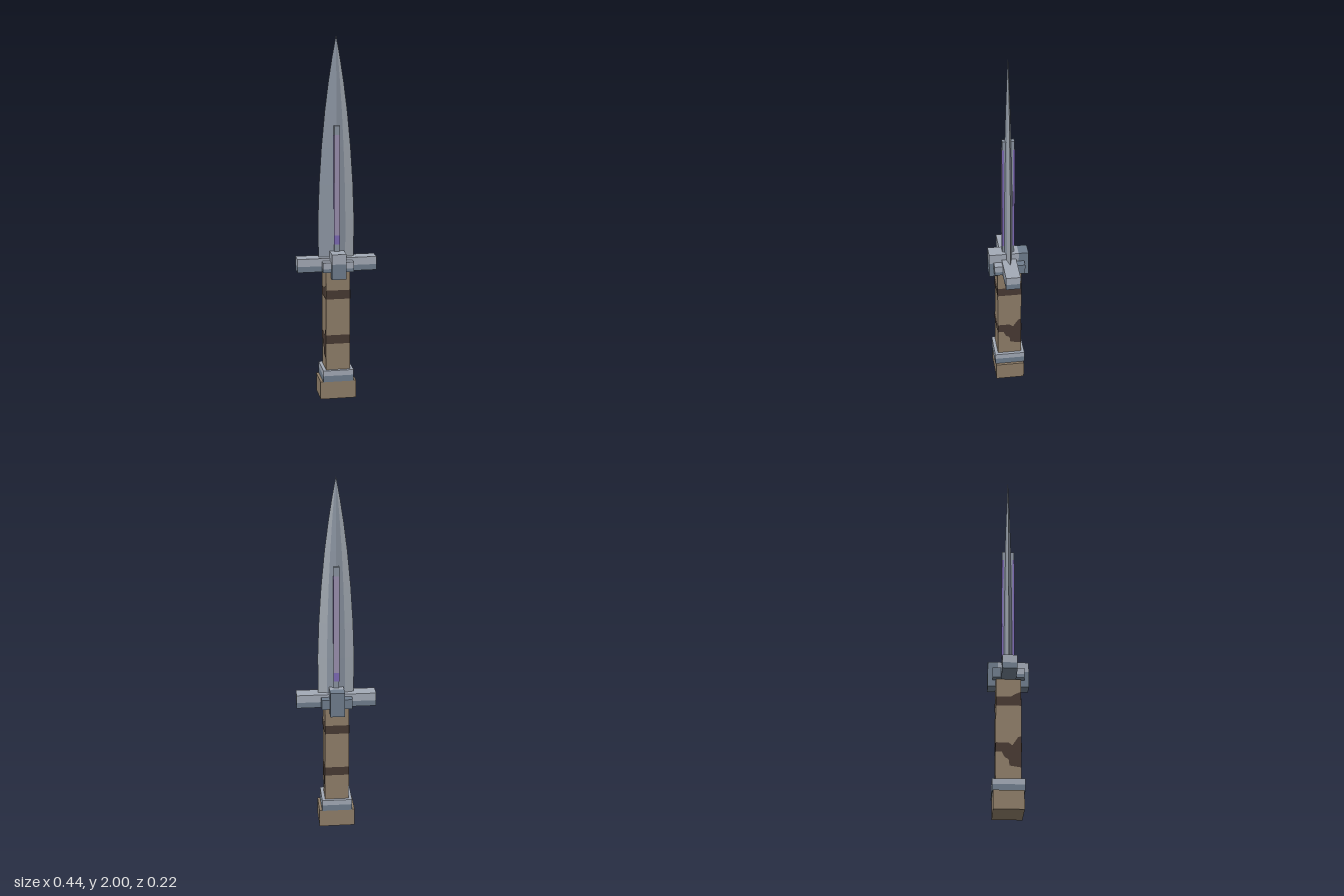
import * as THREE from 'three';

const mat = (name, color, side = THREE.FrontSide) => {
  const m = new THREE.MeshStandardMaterial({ color, side, flatShading: true });
  m.name = name;
  return m;
};

export function createModel() {
  const steelLight = mat('light steel', 0xa3aab6);
  const steelDark = mat('dark steel', 0x6f7d8d);
  const blade = mat('blade steel', 0x8a93a0);
  const bladeEdge = mat('pale blade edge', 0xa1a8b1);
  const leather = mat('brown grip', 0x8f7e69);
  const wrap = mat('dark wrap', 0x483a33, THREE.DoubleSide);
  const lilac = mat('lilac', 0x9a8fae);
  const violet = mat('violet', 0x7c69b4);

  const model = new THREE.Group();
  model.name = 'dagger';

  // Box given by its minimum and maximum on each axis
  const box = (name, m, [x0, x1], [y0, y1], [z0, z1]) => {
    const mesh = new THREE.Mesh(new THREE.BoxGeometry(x1 - x0, y1 - y0, z1 - z0), m);
    mesh.position.set((x0 + x1) / 2, (y0 + y1) / 2, (z0 + z1) / 2);
    mesh.name = name;
    model.add(mesh);
    return mesh;
  };
  const pm = (v) => [-v, v];
  // Box with a darker lower part
  const twoTone = (name, x, [y0, y1], z, split) => {
    box(name + 'Lower', steelDark, x, [y0, split], z);
    box(name + 'Upper', steelLight, x, [split, y1], z);
  };

  // Handle
  const g = 0.067;
  box('pommel', leather, pm(0.1), [0, 0.1], pm(0.08));
  twoTone('collar', pm(0.085), [0.1, 0.165], pm(0.085), 0.135);
  box('grip', leather, pm(g), [0.165, 0.72], pm(g));

  // Wrap bands: straight on front and back, ragged on the sides
  const plate = (points, angle) => {
    const shape = new THREE.Shape(points.map(([u, y]) => new THREE.Vector2(u, y)));
    const mesh = new THREE.Mesh(new THREE.ShapeGeometry(shape), wrap);
    mesh.rotation.y = angle;
    mesh.position.set(Math.sin(angle), 0, Math.cos(angle)).multiplyScalar(g + 0.0015);
    mesh.name = 'wrapBand';
    model.add(mesh);
  };
  for (const angle of [0, Math.PI]) {
    for (const y of [0.315, 0.57]) plate([[-g, y], [g, y], [g, y + 0.05], [-g, y + 0.05]], angle);
  }
  for (const angle of [Math.PI / 2, -Math.PI / 2]) {
    plate([[-g, 0.57], [g, 0.57], [g, 0.65], [0.035, 0.635], [0.01, 0.62], [-g, 0.62]], angle);
    plate([[-g, 0.315], [-0.035, 0.315], [-0.02, 0.285], [0, 0.275], [0.005, 0.24], [g, 0.23],
      [g, 0.4], [0.05, 0.395], [0.02, 0.35], [0, 0.365], [-g, 0.365]], angle);
  }

  // Guard: crossbar, middle block and centre block
  twoTone('crossbar', pm(0.22), [0.72, 0.795], pm(0.04), 0.752);
  twoTone('middleBlock', pm(0.085), [0.725, 0.78], [-0.04, 0.085], 0.745);
  box('middleBlockBack', steelDark, pm(0.085), [0.725, 0.78], [-0.085, -0.04]);
  twoTone('centreBlock', pm(0.04), [0.69, 0.83], [-0.055, 0.11], 0.775);
  box('centreBlockBack', steelDark, pm(0.04), [0.69, 0.83], [-0.11, -0.055]);

  // Blade: diamond sections [height, half width]
  const rows = [[0.78, 0.098], [1.0, 0.1], [1.2, 0.093], [1.4, 0.08], [1.6, 0.061],
    [1.75, 0.042], [1.88, 0.022], [2.0, 0]];
  const section = ([y, w]) => {
    const t = w * 0.25;
    const ring = [[1, 0], [0.5, 0.5], [0, 1], [-0.5, 0.5], [-1, 0], [-0.5, -0.5], [0, -1], [0.5, -0.5]];
    return ring.map(([u, v]) => [u * w, y, v * t]);
  };
  const paleFaces = [0, 4, 7];
  const strips = (name, m, wanted) => {
    const pos = [];
    for (let r = 0; r < rows.length - 1; r++) {
      const a = section(rows[r]), b = section(rows[r + 1]);
      for (let i = 0; i < 8; i++) {
        if (!wanted(i)) continue;
        const j = (i + 1) % 8;
        pos.push(...a[i], ...b[i], ...a[j]);
        if (r < rows.length - 2) pos.push(...a[j], ...b[i], ...b[j]);
      }
    }
    const geo = new THREE.BufferGeometry();
    geo.setAttribute('position', new THREE.Float32BufferAttribute(pos, 3));
    geo.computeVertexNormals();
    const mesh = new THREE.Mesh(geo, m);
    mesh.name = name;
    model.add(mesh);
  };
  strips('bladeFaces', blade, (i) => !paleFaces.includes(i));
  strips('bladeEdges', bladeEdge, (i) => paleFaces.includes(i));

  // Raised spine with violet inlay on both faces
  box('spine', blade, pm(0.015), [0.79, 1.52], pm(0.033));
  for (const s of [-1, 1]) {
    const z = s > 0 ? [0.024, 0.035] : [-0.035, -0.024];
    box('inlay', lilac, pm(0.0155), [0.92, 1.47], z);
    box('inlayBase', violet, pm(0.0157), [0.87, 0.92], z);
    for (const t of [-1, 1]) {
      const x = t > 0 ? [0.0145, 0.0165] : [-0.0165, -0.0145];
      box('inlaySide', violet, x, [0.87, 1.47], s > 0 ? [0.024, 0.0345] : [-0.0345, -0.024]);
    }
  }
  return model;
}
